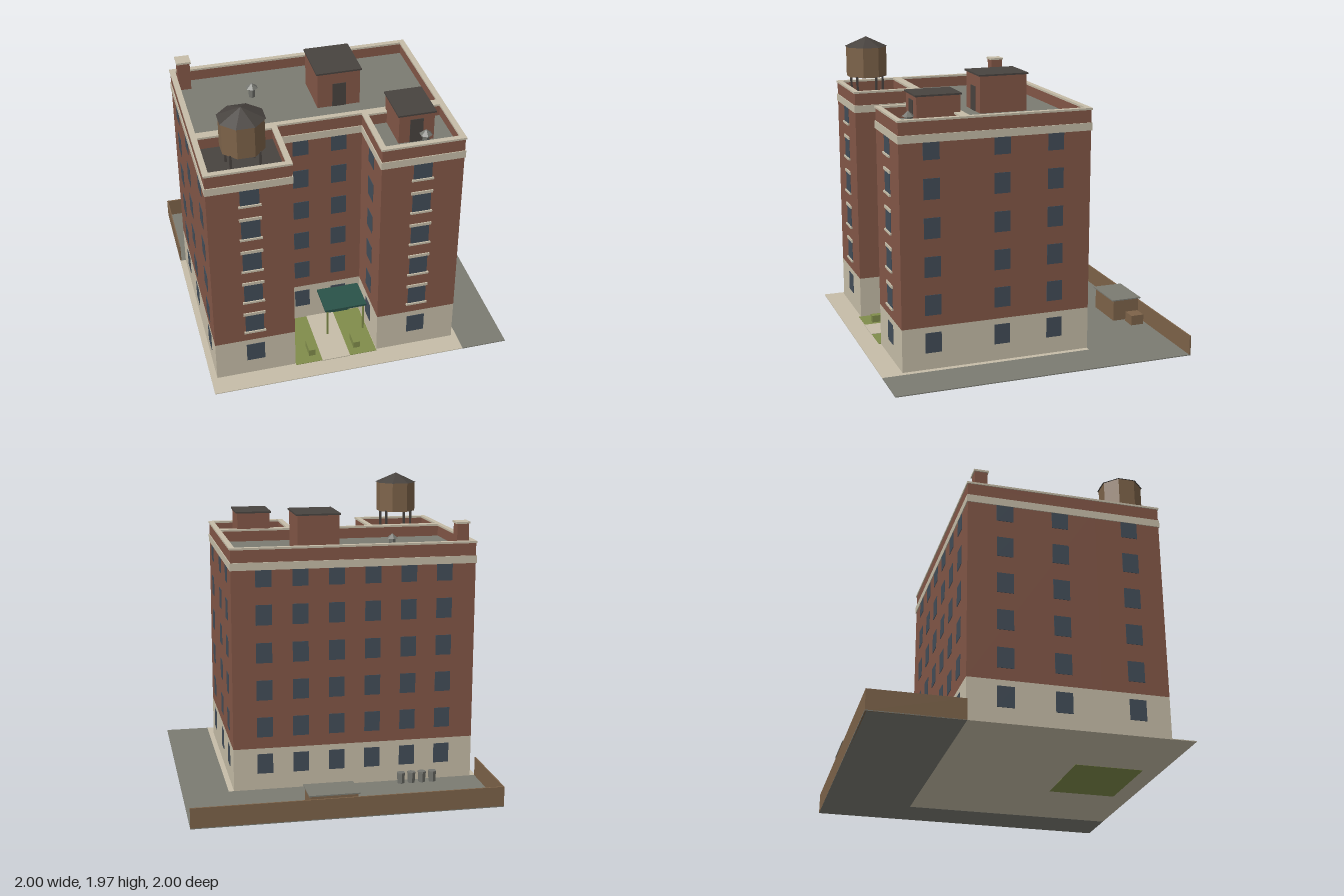
import * as THREE from 'three';

const mat = (name, color) => {
  const m = new THREE.MeshStandardMaterial({ color });
  m.name = name;
  return m;
};

export function createModel() {
  const brick = mat('brick', 0x835747), stone = mat('limestone', 0xc6bda8);
  const asphalt = mat('asphalt', 0x7b7b72), tar = mat('tar', 0x48433f);
  const glass = mat('window glass', 0x424d58), teal = mat('entrance green', 0x2a5249);
  const grass = mat('grass', 0x808c4b), wood = mat('wood', 0x7d6349);
  const metal = mat('metal', 0x74756f);

  const root = new THREE.Group();
  root.name = 'apartmentBlock';
  const group = (name) => {
    const g = new THREE.Group();
    g.name = name;
    root.add(g);
    return g;
  };
  const add = (parent, name, geo, m, x = 0, y = 0, z = 0) => {
    const mesh = new THREE.Mesh(geo, m);
    mesh.name = name;
    mesh.position.set(x, y, z);
    parent.add(mesh);
    return mesh;
  };
  // box given by its limits on each axis
  const box = (parent, name, m, x0, x1, y0, y1, z0, z1) =>
    add(parent, name, new THREE.BoxGeometry(x1 - x0, y1 - y0, z1 - z0), m,
      (x0 + x1) / 2, (y0 + y1) / 2, (z0 + z1) / 2);
  // flat-sided round part standing on y0
  const round = (parent, name, m, sides, rTop, rBottom, x, y0, y1, z, turn = 0) => {
    const geo = new THREE.CylinderGeometry(rTop, rBottom, y1 - y0, sides).rotateY(turn).toNonIndexed();
    geo.computeVertexNormals();
    return add(parent, name, geo, m, x, (y0 + y1) / 2, z);
  };
  // rectangular frame: outer limits grown by "out", inner limits shrunk by "inn"
  const frame = (parent, name, m, [x0, x1, z0, z1], y0, y1, out, inn) => {
    const rect = (P, d) => {
      const p = new P();
      p.moveTo(x0 - d, -z1 - d);
      p.lineTo(x1 + d, -z1 - d);
      p.lineTo(x1 + d, -z0 + d);
      p.lineTo(x0 - d, -z0 + d);
      p.closePath();
      return p;
    };
    const shape = rect(THREE.Shape, out);
    shape.holes.push(rect(THREE.Path, -inn));
    const geo = new THREE.ExtrudeGeometry(shape, { depth: y1 - y0, bevelEnabled: false });
    return add(parent, name, geo.rotateX(-Math.PI / 2), m, 0, y0, 0);
  };

  // ground: yard, pavement, lawn and path
  const ground = group('ground');
  box(ground, 'rearYard', asphalt, -1, 1, 0, 0.006, -1, -0.41);
  box(ground, 'sideYard', asphalt, 0.695, 1, 0, 0.006, -0.41, 1);
  box(ground, 'pavement', stone, -1, 0.695, 0.001, 0.006, -0.41, 1);
  box(ground, 'lawn', grass, -0.43, 0.125, 0, 0.009, 0.425, 0.875);
  box(ground, 'path', stone, -0.25, -0.06, 0.002, 0.012, 0.425, 0.88);
  for (const x of [-0.305, 0.003])
    box(ground, 'hedge', grass, x - 0.022, x + 0.022, 0.005, 0.057, 0.71, 0.815);

  // the three blocks of the U plan
  const blocks = [
    ['mainBlock', [-0.96, 0.66, -0.41, 0.425], asphalt],
    ['leftSideWing', [-0.96, -0.432, 0.425, 0.86], tar],
    ['rightSideWing', [0.128, 0.66, 0.425, 0.86], asphalt],
  ];
  for (const [name, r, roof] of blocks) {
    const g = group(name);
    const [x0, x1, z0, z1] = r;
    box(g, 'stoneBase', stone, x0, x1, 0.003, 0.29, z0, z1);
    box(g, 'brickWalls', brick, x0, x1, 0.29, 1.535, z0, z1);
    box(g, 'stoneBand', stone, x0 - 0.006, x1 + 0.006, 1.48, 1.53, z0 - 0.006, z1 + 0.006);
    box(g, 'roofDeck', roof, x0 + 0.02, x1 - 0.02, 1.532, 1.54, z0 + 0.02, z1 - 0.02);
    frame(g, 'parapet', brick, r, 1.53, 1.612, 0, 0.025);
    frame(g, 'coping', stone, r, 1.612, 1.625, 0.006, 0.03);
  }

  // windows: six floors on each column, a wall is an origin and a turn about y
  const windows = group('windows');
  const column = (x, z, turn, width, trim) => {
    const c = new THREE.Group();
    c.name = 'windowColumn';
    c.position.set(x, 0, z);
    c.rotation.y = turn;
    windows.add(c);
    for (let floor = 0; floor < 6; floor++) {
      const y = 0.184 + floor * 0.2505, w = width / 2;
      box(c, 'window', glass, -w, w, y - 0.067, y + 0.067, -0.004, 0.003);
      if (!trim || floor === 0) continue;
      box(c, 'sill', stone, -w - 0.011, w + 0.011, y - 0.08, y - 0.067, -0.004, 0.012);
      if (floor < 5) box(c, 'lintel', stone, -w - 0.011, w + 0.011, y + 0.067, y + 0.087, -0.004, 0.008);
    }
  };
  for (const x of [-0.695, 0.394]) column(x, 0.86, 0, 0.12, true);
  for (const x of [-0.276, -0.025]) column(x, 0.425, 0, 0.102, false);
  for (let i = 0; i < 6; i++) column(-0.75 + i * 0.24, -0.41, Math.PI, 0.105, false);
  for (const z of [0.653, 0.19, -0.17]) {
    column(0.66, z, Math.PI / 2, 0.107, false);
    column(-0.96, z, -Math.PI / 2, 0.107, false);
  }
  column(-0.432, 0.645, Math.PI / 2, 0.107, false);
  column(0.128, 0.645, -Math.PI / 2, 0.107, false);

  // entrance with canopy on two posts
  const entrance = group('entrance');
  box(entrance, 'door', teal, -0.102, 0.052, 0.006, 0.203, 0.42, 0.431);
  box(entrance, 'canopy', teal, -0.172, 0.116, 0.22, 0.235, 0.425, 0.652);
  for (const x of [-0.153, 0.097])
    box(entrance, 'canopyPost', grass, x - 0.006, x + 0.006, 0.005, 0.22, 0.63, 0.642);

  // roof huts with doors facing front
  const hut = (x0, x1, z0, z1, top, d0, d1, dTop) => {
    const g = group('roofHut');
    box(g, 'hutWalls', brick, x0, x1, 1.535, top, z0, z1);
    box(g, 'hutRoof', tar, x0 - 0.009, x1 + 0.009, top, top + 0.011, z0 - 0.009, z1 + 0.009);
    box(g, 'hutDoor', tar, d0, d1, 1.54, dTop, z1 - 0.004, z1 + 0.004);
  };
  hut(-0.098, 0.184, -0.154, 0.171, 1.785, 0.0, 0.09, 1.706);
  hut(0.282, 0.51, 0.414, 0.699, 1.734, 0.353, 0.438, 1.702);

  // chimney
  const chimney = group('chimney');
  box(chimney, 'chimneyStack', brick, -0.925, -0.845, 1.535, 1.733, -0.357, -0.275);
  box(chimney, 'chimneyCap', stone, -0.932, -0.838, 1.733, 1.746, -0.364, -0.268);

  // water tank on four legs
  const tank = group('waterTank');
  const tx = -0.697, tz = 0.708, turn = Math.PI / 8;
  for (const sx of [-1, 1]) for (const sz of [-1, 1]) {
    const x = tx + sx * 0.09, z = tz + sz * 0.09;
    box(tank, 'tankLeg', tar, x - 0.007, x + 0.007, 1.535, 1.7, z - 0.007, z + 0.007);
  }
  round(tank, 'tankBody', wood, 8, 0.141, 0.141, tx, 1.693, 1.9, tz, turn);
  round(tank, 'tankRoof', tar, 8, 0, 0.15, tx, 1.9, 1.967, tz, turn);

  // roof vents
  for (const [x, z] of [[-0.477, -0.08], [0.446, 0.735]]) {
    const g = group('roofVent');
    round(g, 'ventPipe', metal, 6, 0.022, 0.022, x, 1.535, 1.607, z);
    round(g, 'ventHat', metal, 6, 0, 0.042, x, 1.607, 1.641, z);
  }

  // fence, shed, crate and bins in the rear yard
  const yard = group('yard');
  box(yard, 'backFence', wood, -1, 1, 0, 0.135, -1, -0.99);
  box(yard, 'sideFence', wood, -1, -0.992, 0, 0.135, -1, -0.41);
  box(yard, 'shedWalls', wood, -0.05, 0.253, 0.003, 0.153, -0.985, -0.795);
  box(yard, 'shedRoof', asphalt, -0.06, 0.263, 0.153, 0.161, -0.997, -0.782);
  box(yard, 'crate', wood, 0.283, 0.38, 0.003, 0.075, -0.965, -0.873);
  for (let i = 0; i < 4; i++) {
    const x = -0.677 + i * 0.072;
    round(yard, 'bin', metal, 6, 0.027, 0.024, x, 0.004, 0.07, -0.462);
    round(yard, 'binLid', metal, 6, 0.029, 0.029, x, 0.07, 0.08, -0.462);
  }
  return root;
}
